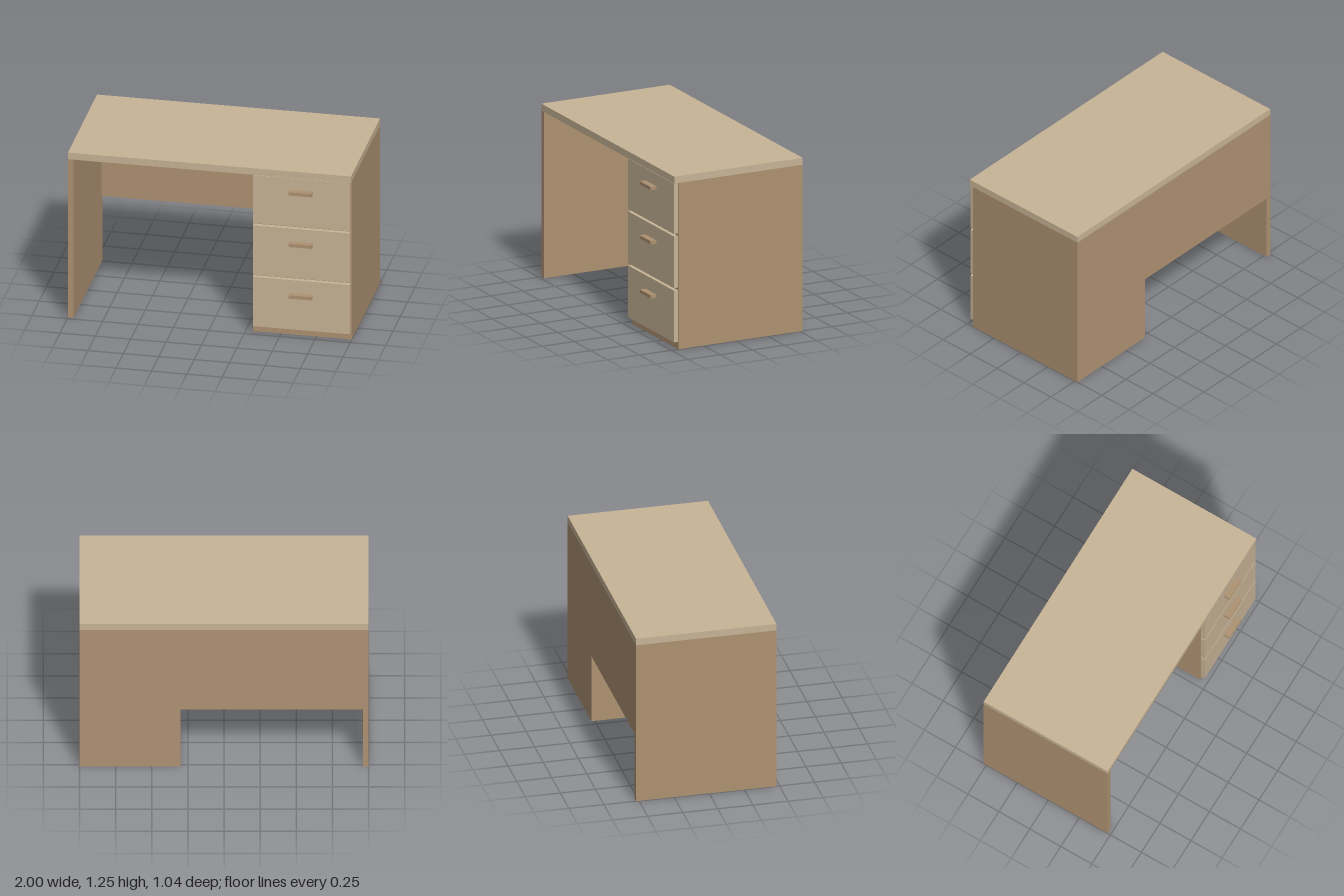
import * as THREE from 'three';

export function createModel() {
  const desk = new THREE.Group();
  desk.name = 'desk';

  const lightWood = new THREE.MeshStandardMaterial({ color: 0xc8b497 });
  lightWood.name = 'lightWood';
  const darkWood = new THREE.MeshStandardMaterial({ color: 0xae9272 });
  darkWood.name = 'darkWood';

  // Box given by its lower and upper limits on each axis
  function board(name, material, [x0, x1], [y0, y1], [z0, z1], parent = desk) {
    const mesh = new THREE.Mesh(new THREE.BoxGeometry(x1 - x0, y1 - y0, z1 - z0), material);
    mesh.position.set((x0 + x1) / 2, (y0 + y1) / 2, (z0 + z1) / 2);
    mesh.name = name;
    parent.add(mesh);
  }

  const back = -0.522;
  const front = 0.478;
  const topUnderside = 1.2;

  // Desktop and its supports
  board('desktop', lightWood, [-1, 1], [topUnderside, 1.25], [back, front]);
  board('sidePanel', darkWood, [-1, -0.96], [0, topUnderside], [back, front]);
  board('modestyPanel', darkWood, [-0.96, 0.3], [0.5, topUnderside], [back, back + 0.035]);
  board('cabinet', darkWood, [0.3, 1], [0, topUnderside], [back, 0.447]);

  // Three drawers, each with a bar handle
  for (let i = 0; i < 3; i++) {
    const drawer = new THREE.Group();
    drawer.name = `drawer${i + 1}`;
    desk.add(drawer);
    const y = 0.052 + i * 0.391;
    const upper = Math.min(y + 0.374, topUnderside - 0.002);
    board('drawerFront', lightWood, [0.307, 0.992], [y, upper], [0.447, front], drawer);
    board('drawerHandle', darkWood, [0.567, 0.73], [y + 0.252, y + 0.276], [front, 0.522], drawer);
  }

  return desk;
}
